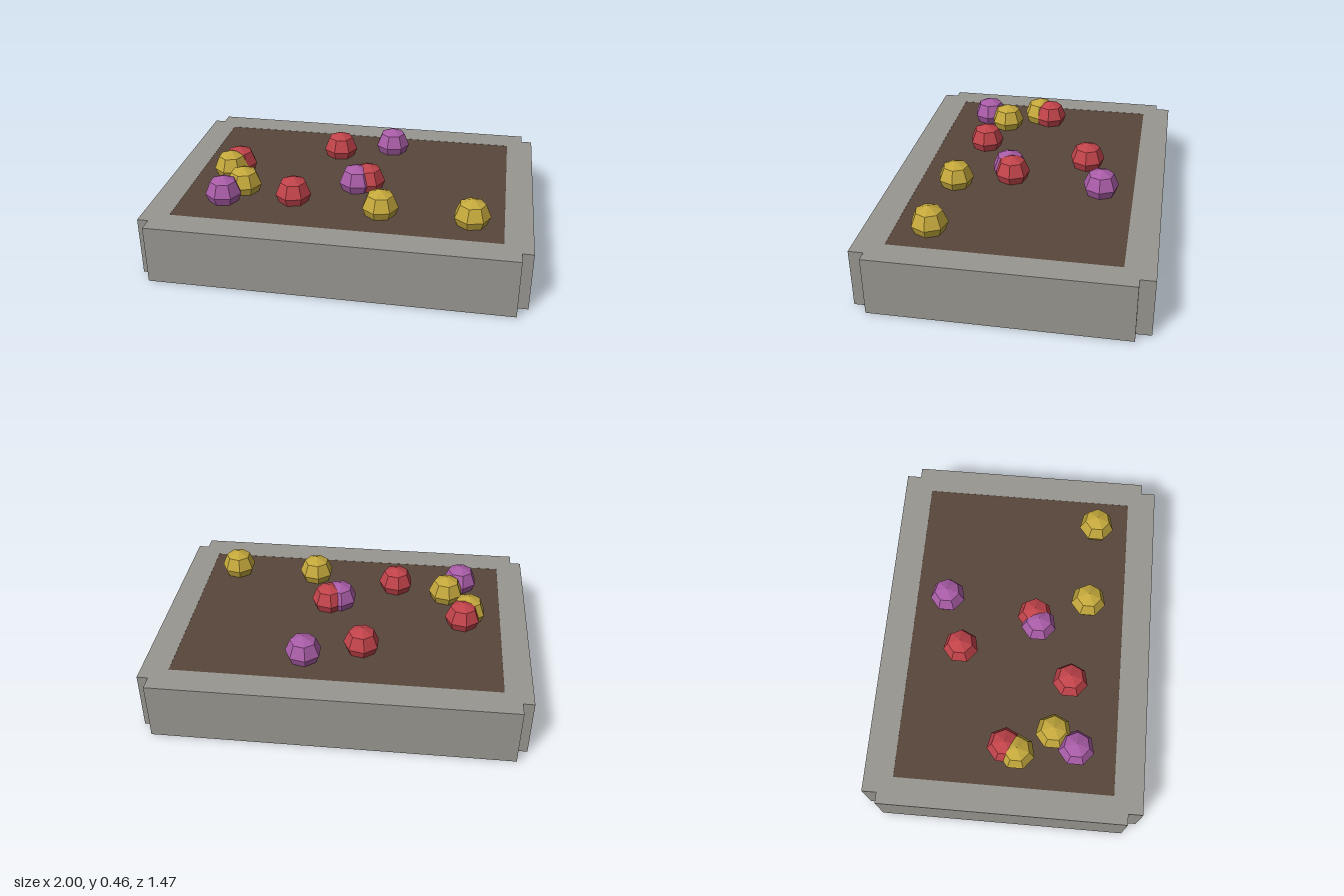
import * as THREE from 'three';

const material = (color) => new THREE.MeshStandardMaterial({ color, flatShading: true });

export function createModel() {
  const model = new THREE.Group();
  model.name = 'flowerBed';
  const stone = material(0x989690);
  const soil = material(0x57463a);
  const red = material(0xc0434a);
  const yellow = material(0xc4a83c);
  const purple = material(0xa85ca6);

  const add = (name, geometry, mat, x, y, z) => {
    const mesh = new THREE.Mesh(geometry, mat);
    mesh.name = name;
    mesh.position.set(x, y, z);
    model.add(mesh);
  };

  // Stone border: long and short walls that overlap, leaving notched corners
  const height = 0.315;
  const longWall = new THREE.BoxGeometry(1.885, height, 0.155);
  const shortWall = new THREE.BoxGeometry(0.145, height, 1.315);
  add('frontWall', longWall, stone, 0, height / 2, 0.6575);
  add('backWall', longWall, stone, 0, height / 2, -0.6575);
  add('leftWall', shortWall, stone, 0.9275, height / 2, 0);
  add('rightWall', shortWall, stone, -0.9275, height / 2, 0);

  // Soil fills the frame almost to the rim, raised off the ground underneath
  add('soil', new THREE.BoxGeometry(1.71, 0.264, 1.16), soil, 0, 0.182, 0);

  // Blossoms: seven-sided low-poly balls half sunk in the soil
  const blossom = new THREE.SphereGeometry(0.097, 7, 4).rotateY(Math.PI);
  const blossoms = [
    [purple, 0.18, -0.405], [red, -0.115, -0.3], [red, -0.645, -0.01],
    [yellow, -0.675, 0.055], [yellow, -0.55, 0.24], [purple, -0.628, 0.365],
    [red, -0.26, 0.31], [purple, 0.048, 0.115], [red, 0.105, 0.09],
    [yellow, 0.215, 0.38], [yellow, 0.688, 0.4],
  ];
  for (const [mat, x, z] of blossoms) add('blossom', blossom, mat, x, 0.358, z);

  return model;
}
